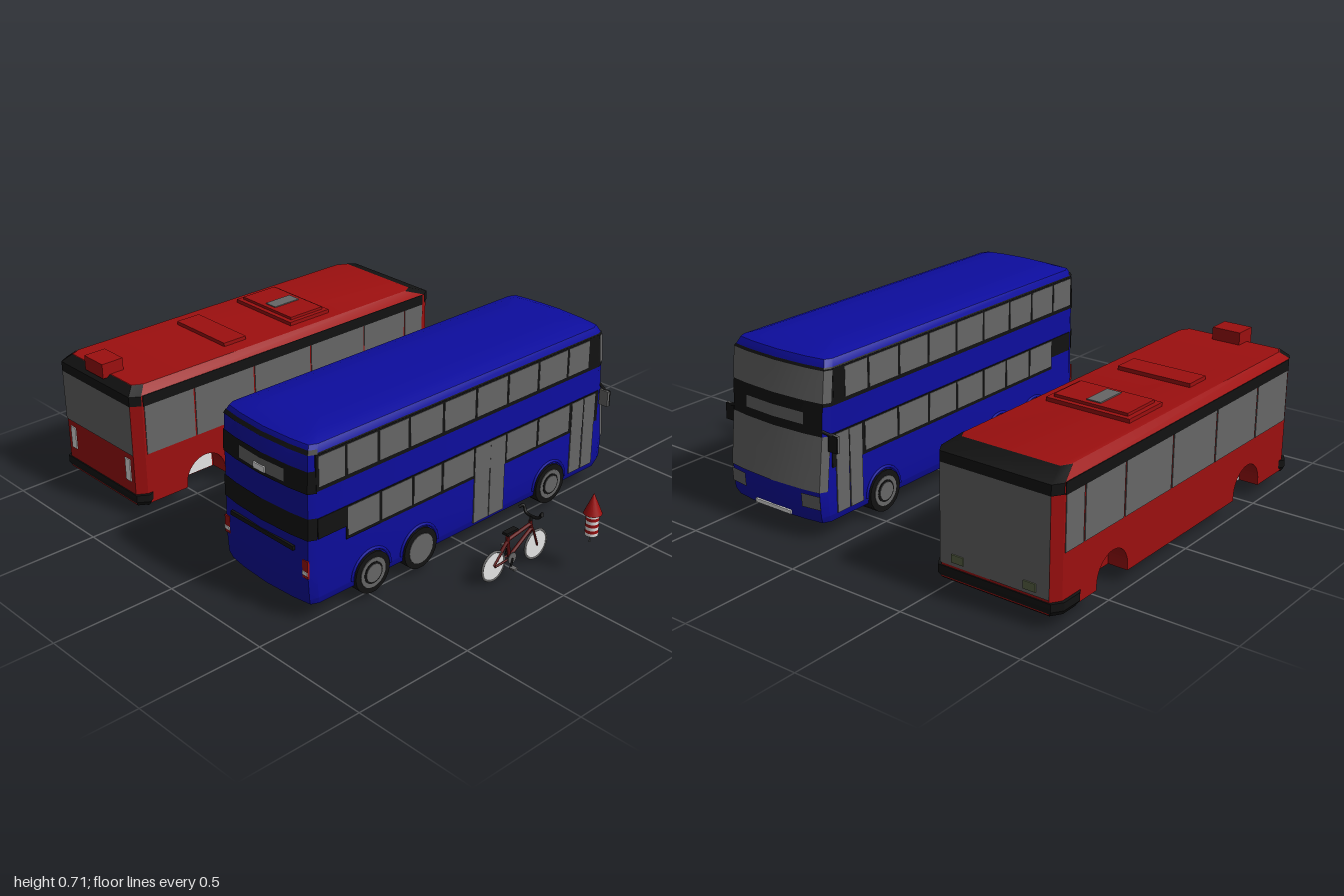
import * as THREE from 'three';
import { toCreasedNormals } from 'three/addons/utils/BufferGeometryUtils.js';

const mat = (name, color, side = THREE.FrontSide) => {
  const m = new THREE.MeshStandardMaterial({ color, side });
  m.name = name;
  return m;
};

export function createModel() {
  const red = mat('red', 0x9c0f0f), blue = mat('blue', 0x0d0d9e), glass = mat('grey glass', 0x666666);
  const black = mat('black', 0x121212), white = mat('white', 0xe6e6e6);
  const maroon = mat('maroon', 0x5e1010), olive = mat('olive', 0x5c6648);
  const root = new THREE.Group();

  const add = (parent, name, geo, m, x = 0, y = 0, z = 0) => {
    const mesh = new THREE.Mesh(geo, m);
    mesh.name = name;
    mesh.position.set(x, y, z);
    parent.add(mesh);
    return mesh;
  };
  const group = (name, x, parent = root) => {
    const g = new THREE.Group();
    g.name = name;
    g.position.x = x;
    parent.add(g);
    return g;
  };
  const box = (p, name, m, x0, x1, y0, y1, z0, z1) =>
    add(p, name, new THREE.BoxGeometry(x1 - x0, y1 - y0, z1 - z0), m, (x0 + x1) / 2, (y0 + y1) / 2, (z0 + z1) / 2);
  const disc = (p, name, m, r, w, x, y, z, sides = 20) =>
    add(p, name, new THREE.CylinderGeometry(r, r, w, sides).rotateZ(Math.PI / 2), m, x, y, z);
  const bar = (p, name, m, a, b, r) => {
    const A = new THREE.Vector3(...a), d = new THREE.Vector3(...b).sub(A);
    const mesh = add(p, name, new THREE.CylinderGeometry(r, r, d.length(), 8), m);
    mesh.position.copy(A).addScaledVector(d, 0.5);
    mesh.quaternion.setFromUnitVectors(new THREE.Vector3(0, 1, 0), d.normalize());
    return mesh;
  };

  // Cross-section at height y, interpolated from rows of [y, halfWidth, front z, rear z]
  const section = (profile, y) => {
    let i = 1;
    while (i < profile.length - 1 && profile[i][0] < y) i++;
    const a = profile[i - 1], b = profile[i], t = (y - a[0]) / (b[0] - a[0]);
    return a.map((v, k) => v + (b[k] - v) * t);
  };
  // Plan outline: rear from -x to +x, then front from +x to -x; ends = rows of [u, inset]
  const outline = ([y, hw, zf, zb], ends, off) => [
    ...ends.map(([u, d]) => new THREE.Vector3(u * (hw + off), y, zb - d + off)),
    ...ends.map(([u, d]) => new THREE.Vector3(-u * (hw + off), y, zf + d - off)),
  ];
  // Wall strip between two heights over outline points i..j; capped when it is the whole shell
  const wall = (p, name, m, profile, ends, y0, y1, i, j, off = 0, cap = false) => {
    const ys = [y0, ...profile.map(r => r[0]).filter(y => y > y0 + 1e-5 && y < y1 - 1e-5), y1];
    const rings = ys.map(y => outline(section(profile, y), ends, off));
    const n = ends.length * 2, pos = [];
    const tri = (...v) => v.forEach(q => pos.push(q.x, q.y, q.z));
    for (let r = 0; r + 1 < rings.length; r++) for (let k = i; k < j; k++) {
      const a = rings[r][k % n], b = rings[r][(k + 1) % n];
      const c = rings[r + 1][(k + 1) % n], d = rings[r + 1][k % n];
      tri(a, b, c);
      tri(a, c, d);
    }
    if (cap) {
      const lo = rings[0], hi = rings[rings.length - 1];
      for (let k = 1; k + 1 < n; k++) { tri(hi[0], hi[k], hi[k + 1]); tri(lo[0], lo[k + 1], lo[k]); }
    }
    const g = new THREE.BufferGeometry();
    g.setAttribute('position', new THREE.Float32BufferAttribute(pos, 3));
    g.computeVertexNormals();
    return add(p, name, toCreasedNormals(g, 0.5), m);
  };
  // Thin plate on a flat bus side
  const plate = (p, name, m, s, hw, z0, z1, y0, y1, t) =>
    box(p, name, m, s * hw - t, s * hw + t, y0, y1, z0, z1);

  // ---------- Double-deck bus ----------
  const deck = group('doubleDeckBus', 0.287);
  const W = 0.237;
  const dp = [[0.07, 0.228, -0.785, 0.79], [0.1, W, -0.8, 0.8], [0.2, W, -0.806, 0.806], [0.3, W, -0.795, 0.803],
    [0.42, W, -0.782, 0.8], [0.53, W, -0.775, 0.8], [0.66, W, -0.762, 0.795], [0.69, 0.224, -0.745, 0.78],
    [0.705, 0.18, -0.7, 0.74], [0.711, 0.1, -0.6, 0.66]];
  const de = [[-1, 0.05], [-0.94, 0.02], [-0.6, 0.008], [0, 0], [0.6, 0.008], [0.94, 0.02], [1, 0.05]];
  const dWall = (name, m, y0, y1, i, j, off) => wall(deck, name, m, dp, de, y0, y1, i, j, off);
  wall(deck, 'body', blue, dp, de, 0.07, 0.711, 0, 14, 0, true);

  // Front face
  dWall('upperWindscreenFrame', black, 0.52, 0.665, 6, 14, 0.002);
  dWall('upperWindscreen', glass, 0.535, 0.655, 7, 13, 0.004);
  dWall('frontBand', black, 0.41, 0.53, 8, 12, 0.003);
  dWall('destinationSign', glass, 0.445, 0.49, 9, 11, 0.006);
  dWall('lowerWindscreen', glass, 0.2, 0.41, 7, 13, 0.003);
  for (const i of [8, 11]) dWall('headlight', glass, 0.13, 0.185, i, i + 1, 0.004);
  box(deck, 'frontPlate', white, -0.09, 0.09, 0.085, 0.1, -0.806, -0.798);

  // Rear face
  dWall('rearWindowBand', black, 0.515, 0.6, 0, 6, 0.003);
  dWall('rearWindow', glass, 0.53, 0.578, 1.0, 5, 0.005).scale.x = 0.8;
  box(deck, 'rearBadge', white, -0.03, 0.03, 0.53, 0.553, 0.8, 0.808);
  dWall('rearLowerBand', black, 0.335, 0.42, 0, 6, 0.003);
  dWall('rearTopLine', black, 0.66, 0.675, 0, 6, 0.002);
  box(deck, 'rearGrille', black, -0.17, 0.17, 0.283, 0.3, 0.796, 0.806);
  for (const s of [-1, 1]) {
    box(deck, 'tailLight', red, s * 0.213 - 0.014, s * 0.213 + 0.014, 0.185, 0.255, 0.782, 0.79);
    box(deck, 'tailLightInset', white, s * 0.213 - 0.013, s * 0.213 + 0.013, 0.198, 0.212, 0.784, 0.793);
  }

  // Sides: window bands, panes, doors, mirrors and wheels
  const upper = [0.75, 0.62, 0.47, 0.32, 0.15, -0.02, -0.19, -0.36, -0.53, -0.66];
  const lower = [0.62, 0.46, 0.3, 0.15, -0.02, -0.19, -0.37, -0.56];
  for (const s of [-1, 1]) {
    plate(deck, 'upperWindowBand', black, s, W, -0.715, 0.755, 0.525, 0.66, 0.003);
    plate(deck, 'lowerWindowBand', black, s, W, -0.73, 0.62, 0.283, 0.415, 0.003);
    plate(deck, 'rearSideBand', black, s, W, 0.61, 0.75, 0.335, 0.415, 0.003);
    for (const [list, y0, y1] of [[upper, 0.537, 0.653], [lower, 0.297, 0.41]])
      for (let i = 0; i + 1 < list.length; i++)
        plate(deck, 'sideWindow', glass, s, W, list[i + 1] + 0.006, list[i] - 0.006, y0, y1, 0.0045);
    for (const z of [-0.605, -0.677])
      plate(deck, 'frontDoorLeaf', glass, s, W, z - 0.033, z + 0.033, 0.1, 0.41, 0.0045);
    if (s > 0) for (const z of [-0.063, -0.147])
      plate(deck, 'middleDoorLeaf', glass, s, W, z - 0.04, z + 0.04, 0.09, 0.41, 0.0048);

    box(deck, 'mirror', glass, s * 0.262 - 0.021, s * 0.262 + 0.021, 0.355, 0.42, -0.745, -0.735);
    box(deck, 'mirrorShell', black, s * 0.262 - 0.021, s * 0.262 + 0.021, 0.355, 0.42, -0.752, -0.745);
    bar(deck, 'mirrorArm', black, [s * 0.22, 0.43, -0.76], [s * 0.265, 0.415, -0.745], 0.006);

    for (const z of [0.5, 0.26, -0.455]) {
      disc(deck, 'tyre', black, 0.083, 0.085, s * 0.203, 0.1, z, 18);
      disc(deck, 'wheelRim', glass, 0.06, 0.004, s * 0.246, 0.1, z);
      if (z !== 0.26) {
        disc(deck, 'hubRing', black, 0.044, 0.004, s * 0.2475, 0.1, z);
        disc(deck, 'hub', glass, 0.036, 0.006, s * 0.249, 0.1, z);
      }
      add(deck, 'wheelArch', new THREE.TorusGeometry(0.093, 0.006, 6, 16, Math.PI).rotateY(Math.PI / 2),
        blue, s * W, 0.1, z);
    }
  }

  // ---------- Single-deck bus ----------
  const bus = group('singleDeckBus', -0.735);
  const H = 0.25;
  const bp = [[0.055, H, -0.795, 0.785], [0.52, H, -0.795, 0.785], [0.55, 0.22, -0.71, 0.75]];
  const be = [[-1, 0.04], [-0.9, 0], [0.9, 0], [1, 0.04]];
  const bWall = (name, m, y0, y1, i, j, off) => wall(bus, name, m, bp, be, y0, y1, i, j, off);
  wall(bus, 'body', red, bp, be, 0.18, 0.55, 0, 8, 0, true);
  box(bus, 'floor', red, -0.17, 0.17, 0.055, 0.19, -0.7, 0.7);
  for (const [name, zf, zb] of [['frontEnd', -0.795, -0.6], ['rearEnd', 0.6, 0.785]])
    wall(bus, name, red, [[0.055, H, zf, zb], [0.18, H, zf, zb]], be, 0.055, 0.18, 0, 8, 0, true);
  for (const [name, zf, zb] of [['frontBumper', -0.8, -0.63], ['rearBumper', 0.7, 0.79]])
    wall(bus, name, black, [[0.05, 0.25, zf + 0.01, zb - 0.01], [0.07, 0.262, zf, zb], [0.1, 0.262, zf, zb]],
      be, 0.05, 0.1, 0, 8, 0, true);

  // Lower side skirts with round wheel openings
  const skirt = new THREE.Shape();
  skirt.moveTo(-0.65, 0.055);
  for (const z of [-0.46, 0.46]) {
    skirt.lineTo(z - 0.095, 0.055);
    skirt.absarc(z, 0.075, 0.095, Math.PI, 0, true);
    skirt.lineTo(z + 0.095, 0.055);
  }
  skirt.lineTo(0.65, 0.055).lineTo(0.65, 0.18).lineTo(-0.65, 0.18);
  const skirtGeo = new THREE.ExtrudeGeometry(skirt, { depth: 0.09, bevelEnabled: false, curveSegments: 10 })
    .rotateY(-Math.PI / 2);
  const panes = [0.74, 0.5, 0.2, -0.1, -0.4, -0.64, -0.75];
  for (const s of [-1, 1]) {
    add(bus, 'skirt', skirtGeo, red, s > 0 ? H : -0.16);
    plate(bus, 'rearArchLiner', white, s, 0.17, 0.375, 0.545, 0.06, 0.16, 0.004);
    plate(bus, 'sideTopBand', black, s, H, -0.75, 0.74, 0.475, 0.52, 0.003);
    for (let i = 0; i + 1 < panes.length; i++)
      plate(bus, 'sideWindow', glass, s, H, panes[i + 1] + 0.004, panes[i] - 0.004, 0.27, 0.475, 0.003);
    box(bus, 'rearLight', white, s * 0.187 - 0.016, s * 0.187 + 0.016, 0.15, 0.245, 0.782, 0.789);
    box(bus, 'headlight', olive, s * 0.15 - 0.025, s * 0.15 + 0.025, 0.125, 0.155, -0.803, -0.796);
  }
  bWall('rearTopBand', black, 0.48, 0.55, 0, 3, 0.003);
  bWall('rearWindow', glass, 0.27, 0.48, 1, 2, 0.003);
  bWall('frontTopBand', black, 0.48, 0.55, 4, 7, 0.003);
  bWall('windscreen', glass, 0.11, 0.48, 5, 6, 0.003);

  // Roof units and underside plates
  box(bus, 'roofUnit', red, -0.175, 0.175, 0.545, 0.565, -0.27, -0.06);
  box(bus, 'roofUnitTop', red, -0.155, 0.155, 0.56, 0.576, -0.25, -0.08);
  box(bus, 'roofHatch', glass, -0.03, 0.03, 0.574, 0.58, -0.23, -0.1);
  box(bus, 'rearRoofUnit', red, -0.155, 0.155, 0.545, 0.565, 0.16, 0.27);
  box(bus, 'roofVent', red, -0.06, 0.06, 0.54, 0.6, 0.69, 0.785);
  box(bus, 'underPlate', olive, -0.07, 0.09, 0.05, 0.058, -0.22, 0.02);
  box(bus, 'underHatch', black, 0.02, 0.1, 0.05, 0.058, -0.55, -0.45);

  // ---------- Bicycle ----------
  const bike = group('bicycle', 0.76);
  for (const z of [0.115, -0.115]) {
    disc(bike, 'wheelSpokes', white, 0.055, 0.004, 0, 0.064, z, 24);
    add(bike, 'bikeTyre', new THREE.TorusGeometry(0.058, 0.005, 6, 24).rotateY(Math.PI / 2), glass, 0, 0.064, z);
    for (const s of [-1, 1])
      bar(bike, 'fork', maroon, [s * 0.009, 0.064, z], z > 0 ? [s * 0.009, 0.07, 0.03] : [s * 0.009, 0.14, -0.088], 0.004);
  }
  const frame = [[0.03, 0.07, 0.045, 0.16], [0.045, 0.145, -0.082, 0.165], [0.03, 0.07, -0.087, 0.145],
    [0.045, 0.14, 0.115, 0.064], [-0.09, 0.135, -0.078, 0.18]];
  for (const [z0, y0, z1, y1] of frame) bar(bike, 'frameTube', maroon, [0, y0, z0], [0, y1, z1], 0.007);
  bar(bike, 'seatPost', black, [0, 0.15, 0.043], [0, 0.175, 0.04], 0.004);
  box(bike, 'saddle', black, -0.012, 0.012, 0.172, 0.182, 0.0, 0.06);
  bar(bike, 'stem', black, [0, 0.175, -0.08], [0, 0.195, -0.085], 0.006);
  const grip = [[-0.055, 0.215, -0.075], [-0.045, 0.222, -0.09], [-0.03, 0.198, -0.088],
    [0.03, 0.198, -0.088], [0.045, 0.222, -0.09], [0.055, 0.215, -0.075]].map(v => new THREE.Vector3(...v));
  add(bike, 'handlebar', new THREE.TubeGeometry(new THREE.CatmullRomCurve3(grip), 24, 0.006, 8), black);
  disc(bike, 'chainring', glass, 0.022, 0.004, 0.014, 0.07, 0.03);
  for (const s of [-1, 1]) {
    bar(bike, 'crank', black, [s * 0.018, 0.07, 0.03], [s * 0.02, 0.07 - s * 0.03, 0.03 + s * 0.012], 0.004);
    box(bike, 'pedal', glass, s * 0.033 - 0.013, s * 0.033 + 0.013, 0.066 - s * 0.03, 0.073 - s * 0.03,
      0.02 + s * 0.012, 0.04 + s * 0.012);
  }

  // ---------- Firework rocket ----------
  const rocket = group('fireworkRocket', 0.962);
  rocket.position.z = -0.185;
  for (let i = 0; i < 7; i++)
    add(rocket, 'bodyStripe', new THREE.CylinderGeometry(0.025, 0.025, 0.0125, 20), i % 2 ? red : white, 0, 0.172 + i * 0.0125, 0);
  add(rocket, 'noseCone', new THREE.ConeGeometry(0.035, 0.083, 20), red, 0, 0.295, 0);
  bar(rocket, 'stick', glass, [-0.006, 0.13, 0], [-0.006, 0.17, 0], 0.003);

  return root;
}
